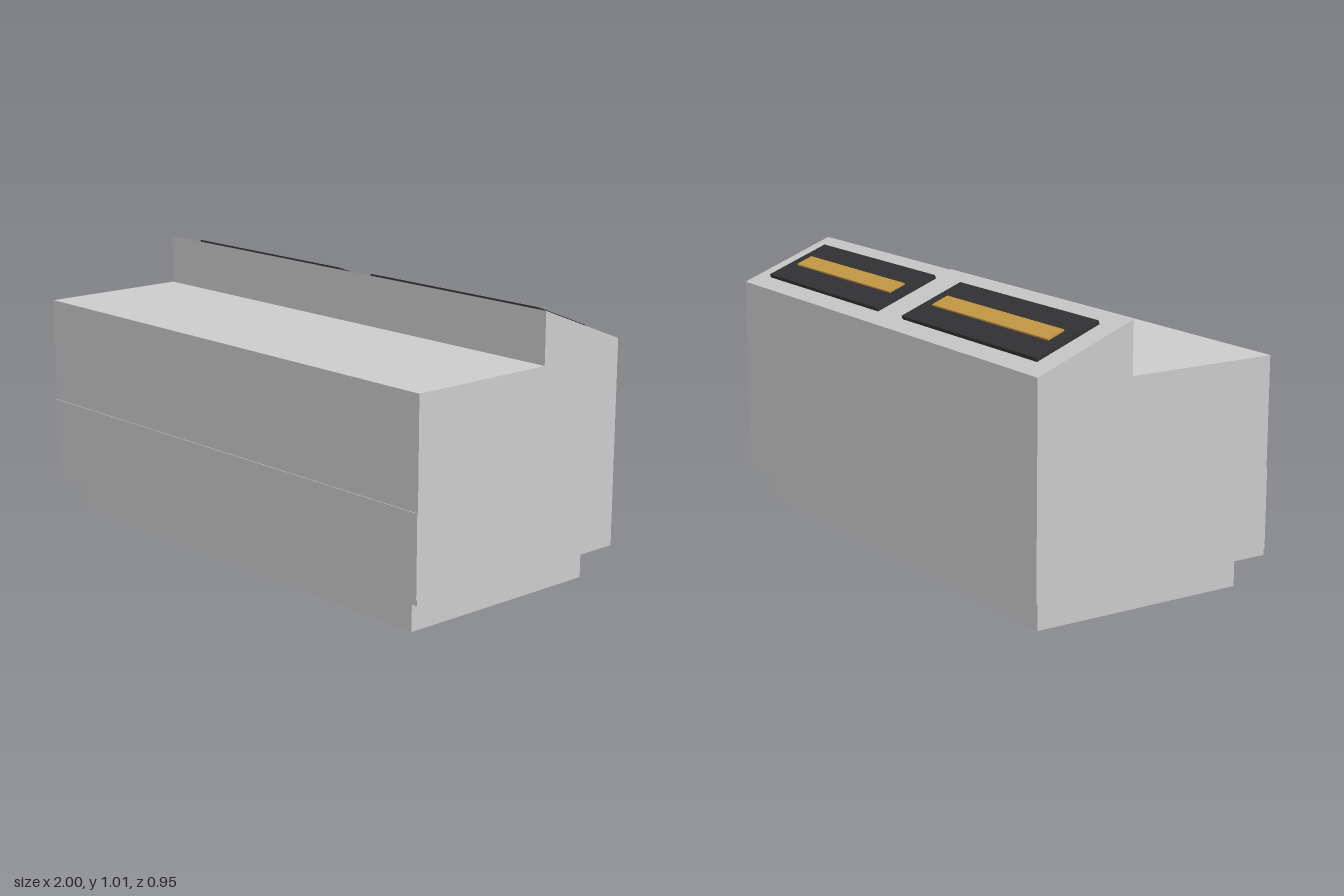
import * as THREE from 'three';

export function createModel() {
  const model = new THREE.Group();
  const grey = new THREE.MeshStandardMaterial({ color: 0xcccccc, flatShading: true });
  const black = new THREE.MeshStandardMaterial({ color: 0x333335, flatShading: true });
  const gold = new THREE.MeshStandardMaterial({ color: 0xc89a45, flatShading: true });

  const addBox = (parent, name, material, size, position) => {
    const mesh = new THREE.Mesh(new THREE.BoxGeometry(...size), material);
    mesh.name = name;
    mesh.position.set(...position);
    parent.add(mesh);
  };

  // Recessed plinth
  addBox(model, 'plinth', grey, [1.834, 0.125, 0.824], [0, 0.0625, 0]);

  // Counter body with a raised sloping rear ledge: side profile as (z, y)
  const profile = [
    [0.471, 0.125], [0.471, 0.825], [-0.105, 0.825],
    [-0.105, 1.01], [-0.474, 0.866], [-0.474, 0.125],
  ].map(([z, y]) => new THREE.Vector2(z, y));
  const bodyGeometry = new THREE.ExtrudeGeometry(new THREE.Shape(profile), { depth: 2, bevelEnabled: false });
  bodyGeometry.translate(0, 0, -1).rotateY(-Math.PI / 2);
  const body = new THREE.Mesh(bodyGeometry, grey);
  body.name = 'counterBody';
  model.add(body);

  // Thin panel on the front face
  addBox(model, 'frontPanel', grey, [2, 0.29, 0.008], [0, 0.29, 0.47]);

  // Two dark plates with gold strips lying on the slope
  const slope = Math.atan2(0.144, 0.369);
  for (const side of [-1, 1]) {
    const plate = new THREE.Group();
    plate.name = side > 0 ? 'leftDisplay' : 'rightDisplay';
    plate.position.set(side * 0.495, 0.938, -0.29);
    plate.rotation.x = -slope;
    addBox(plate, 'darkPlate', black, [0.82, 0.02, 0.26], [0, 0.004, 0]);
    addBox(plate, 'goldStrip', gold, [0.7, 0.012, 0.068], [0, 0.014, 0]);
    model.add(plate);
  }
  return model;
}
